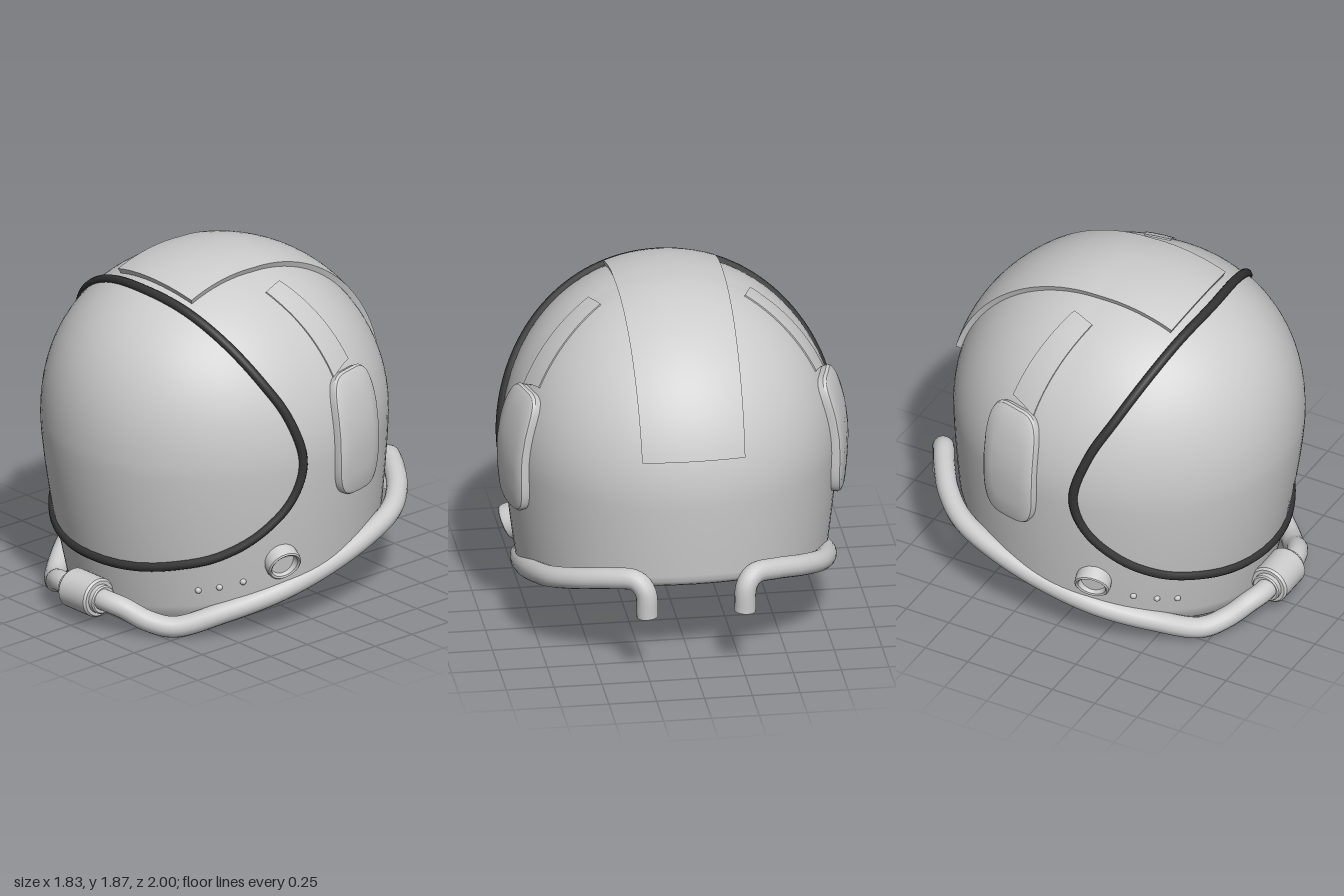
import * as THREE from 'three';
import { toCreasedNormals } from 'three/addons/utils/BufferGeometryUtils.js';

const V = (x, y, z) => new THREE.Vector3(x, y, z);
const MID = V(0, 0.95, 0);
const grey = new THREE.MeshStandardMaterial({ color: 0xcccccc, side: THREE.DoubleSide });
const dark = new THREE.MeshStandardMaterial({ color: 0x333333, side: THREE.DoubleSide });

// Helmet form: horizontal ellipses scaled by a factor that varies with height
const depth = (z) => (z > 0 ? 0.935 : 0.905);
function widthAt(y, c) {
  const dy = y - MID.y;
  if (dy < 0) return 1 - (0.11 + 0.04 * c) * Math.pow(-dy / 0.85, 1.4);
  const n = 2 + 0.3 * Math.max(0, c);
  return Math.pow(1 - Math.pow(Math.min(1, dy / 0.89), n), 1 / n);
}
function field(p) {
  const a = p.x / 0.87, b = p.z / depth(p.z), r = Math.hypot(a, b);
  return r - widthAt(p.y, r > 0 ? b / r : 0);
}
function normalAt(p) {
  const e = 0.004, q = p.clone().lerp(MID, 0.02);
  const d = (k) => {
    const a = q.clone(), b = q.clone();
    a[k] += e; b[k] -= e;
    return field(a) - field(b);
  };
  return V(d('x'), d('y'), d('z')).normalize();
}
// Point where a ray from inside meets the shell, lifted by off
function cast(from, dir, off = 0) {
  const d = dir.clone().normalize();
  let lo = 0, hi = 2;
  for (let i = 0; i < 32; i++) {
    const t = (lo + hi) / 2;
    if (field(from.clone().addScaledVector(d, t)) < 0) lo = t; else hi = t;
  }
  const p = from.clone().addScaledVector(d, lo);
  return off ? p.addScaledVector(normalAt(p), off) : p;
}
const fromMid = (p, off) => cast(MID, p.clone().sub(MID), off);
const fromSide = (y, z, off) => cast(V(0, y, z), V(1, 0, 0), off);

// Surface through rows of points
function skin(rows, crease = 0.6) {
  const w = rows[0].length, pos = [], idx = [], all = rows.flat();
  all.forEach((p) => pos.push(p.x, p.y, p.z));
  const tri = (a, b, c) => {
    const A = all[a], B = all[b], C = all[c];
    if (A.distanceTo(B) > 1e-5 && B.distanceTo(C) > 1e-5 && A.distanceTo(C) > 1e-5) idx.push(a, b, c);
  };
  for (let j = 0; j < rows.length - 1; j++) for (let i = 0; i < w - 1; i++) {
    const a = j * w + i;
    tri(a, a + 1, a + w);
    tri(a + 1, a + w + 1, a + w);
  }
  const g = new THREE.BufferGeometry();
  g.setAttribute('position', new THREE.Float32BufferAttribute(pos, 3));
  g.setIndex(idx);
  return toCreasedNormals(g, crease);
}
// Raised panel whose border drops into the shell
function panel(nu, nv, off, at) {
  const rows = [], cl = (t) => Math.min(1, Math.max(0, t));
  for (let j = -1; j <= nv + 1; j++) {
    const row = [];
    for (let i = -1; i <= nu + 1; i++) {
      const border = i < 0 || j < 0 || i > nu || j > nv;
      row.push(at(cl(i / nu), cl(j / nv), border ? -0.01 : off));
    }
    rows.push(row);
  }
  return skin(rows);
}
function add(parent, name, geo, mat = grey) {
  const m = new THREE.Mesh(geo, mat);
  m.name = name;
  parent.add(m);
  return m;
}

// Dome down to a slanted neck edge, then a flat rim with an inner lip
function shellGeometry() {
  const N = 96, rows = [], cols = Array.from({ length: N + 1 }, (_, i) => -Math.PI + (i / N) * 2 * Math.PI);
  const surf = (f, y) => {
    const c = Math.cos(f), k = widthAt(y, c);
    return V(0.87 * k * Math.sin(f), y, depth(c) * k * c);
  };
  const planeY = (z) => 0.03 + (0.78 - z) * 0.27;
  const edges = cols.map((f) => {
    let y = 0.3;
    for (let i = 0; i < 12; i++) y = planeY(surf(f, y).z);
    return surf(f, y);
  });
  const hub = V(0, planeY(-0.03), -0.03);
  for (const [t, up] of [[0.22, 0.08], [0.23, 0.01], [0.22, 0], [0.04, 0], [0.015, 0.008]])
    rows.push(edges.map((e) => { const p = e.clone().lerp(hub, t); p.y += up; return p; }));
  for (let j = 0; j <= 14; j++)
    rows.push(cols.map((f, i) => surf(f, THREE.MathUtils.lerp(edges[i].y + 0.025, MID.y, j / 14))));
  for (let j = 1; j <= 28; j++) {
    const e = (j / 28) * Math.PI / 2;
    rows.push(cols.map((f) => (j === 28 ? V(0, 1.84, 0) : fromMid(
      V(0.87 * Math.sin(f) * Math.cos(e), MID.y + 0.89 * Math.sin(e), depth(Math.cos(f)) * Math.cos(f) * Math.cos(e))))));
  }
  return skin(rows, 0.7);
}

export function createModel() {
  const model = new THREE.Group();
  model.name = 'spaceHelmet';
  add(model, 'shell', shellGeometry());

  // Visor outline, mirrored, and its seal
  const half = [[0, 1.76, 0.51], [0.307, 1.72, 0.48], [0.554, 1.6, 0.42], [0.72, 1.4, 0.32], [0.8, 1.2, 0.22],
    [0.84, 0.95, 0.155], [0.83, 0.76, 0.21], [0.775, 0.58, 0.37], [0.65, 0.46, 0.55], [0.455, 0.395, 0.72], [0, 0.355, 0.86]];
  const loop = [...half, ...half.slice(1, -1).reverse().map(([x, y, z]) => [-x, y, z])].map((p) => V(...p));
  const outline = new THREE.CatmullRomCurve3(loop, true).getPoints(96).map((p) => fromMid(p, 0.006));
  const visorMid = V(0, 1.02, 0.93), rows = [];
  for (let j = 0; j <= 20; j++) rows.push(outline.map((p) => fromMid(visorMid.clone().lerp(p, j / 20), 0.006)));
  add(model, 'visor', skin(rows));
  const sealPath = new THREE.CatmullRomCurve3(outline.slice(0, -1), true);
  add(model, 'visorSeal', new THREE.TubeGeometry(sealPath, 160, 0.025, 10, true), dark);

  // Raised band over the crown
  add(model, 'crownBand', panel(12, 40, 0.03, (u, v, off) => {
    const a = THREE.MathUtils.degToRad(62 + 103 * v);
    return cast(V((u * 2 - 1) * (0.28 - 0.02 * v), MID.y, 0), V(0, Math.sin(a), Math.cos(a)), off);
  }));

  // Parts on each side
  for (const [side, sx] of [['left', 1], ['right', -1]]) {
    const g = new THREE.Group();
    g.name = side + 'Side';
    g.scale.x = sx;
    model.add(g);

    // Ear pad: rounded outline lifted off the shell
    const sup = (t) => Math.sign(t) * Math.pow(Math.abs(t), 0.5);
    const rings = [[1, -0.03], [1, 0.03], [0.97, 0.043], [0.9, 0.05], [0.6, 0.052], [0.3, 0.052], [0, 0.052]];
    add(g, 'earPad', skin(rings.map(([s, off]) => Array.from({ length: 49 }, (_, i) => {
      const a = (i / 48) * Math.PI * 2;
      return fromSide(1.02 + 0.322 * s * sup(Math.cos(a)), -0.215 + 0.16 * s * sup(Math.sin(a)), off);
    }))));

    // Thin strap rising from the pad
    add(g, 'strap', panel(16, 4, 0.007, (u, v, off) => {
      const x = THREE.MathUtils.lerp(0.42 + 0.36 * u, 0.375 + 0.345 * u, v);
      const z = THREE.MathUtils.lerp(0.03 - 0.15 * u, -0.1 - 0.17 * u, v);
      return cast(V(x, MID.y, z), V(0, 1, 0), off);
    }));

    // Recessed port on the jaw
    const profile = [[0.088, -0.14], [0.095, -0.02], [0.092, 0], [0.084, 0.006], [0.074, 0], [0.068, -0.045], [0, -0.045]];
    const port = add(g, 'port', toCreasedNormals(new THREE.LatheGeometry(profile.map((p) => new THREE.Vector2(...p)), 32), 0.6));
    port.position.set(0.82, 0.385, 0.245);
    port.quaternion.setFromUnitVectors(V(0, 1, 0), V(0.88, -0.42, 0.2).normalize());

    // Rivets
    for (const [y, z] of [[0.26, 0.6], [0.278, 0.52], [0.305, 0.42]]) {
      const rivet = add(g, 'rivet', new THREE.SphereGeometry(0.017, 14, 10));
      rivet.position.copy(fromSide(y, z, 0));
    }

    // Hose from the front coupling round to the back
    const path = new THREE.CatmullRomCurve3([[0, 0.165, 0.9], [0.17, 0.165, 0.9], [0.26, 0.145, 0.865], [0.36, 0.085, 0.79],
      [0.47, 0.06, 0.7], [0.62, 0.13, 0.5], [0.74, 0.21, 0.24], [0.775, 0.285, -0.05], [0.765, 0.375, -0.35],
      [0.7, 0.44, -0.58], [0.58, 0.49, -0.73], [0.43, 0.53, -0.84], [0.31, 0.54, -0.91], [0.265, 0.49, -0.94],
      [0.255, 0.35, -0.945]].map((p) => V(...p)));
    add(g, 'hose', new THREE.TubeGeometry(path, 140, 0.056, 16));
    const cap = add(g, 'hoseEnd', new THREE.CircleGeometry(0.056, 16));
    cap.position.copy(path.getPoint(1));
    cap.quaternion.setFromUnitVectors(V(0, 0, 1), path.getTangent(1));
  }

  // Front coupling: stepped drum with its axis across the front
  const drum = [[0, -0.14], [0.07, -0.14], [0.077, -0.133], [0.077, -0.108], [0.095, -0.108], [0.105, -0.096]];
  const drumProfile = [...drum, ...drum.slice().reverse().map(([r, y]) => [r, -y])].map((p) => new THREE.Vector2(...p));
  const coupling = add(model, 'hoseCoupling', toCreasedNormals(new THREE.LatheGeometry(drumProfile, 32), 0.6));
  coupling.rotation.z = Math.PI / 2;
  coupling.position.set(0, 0.16, 0.895);
  return model;
}
